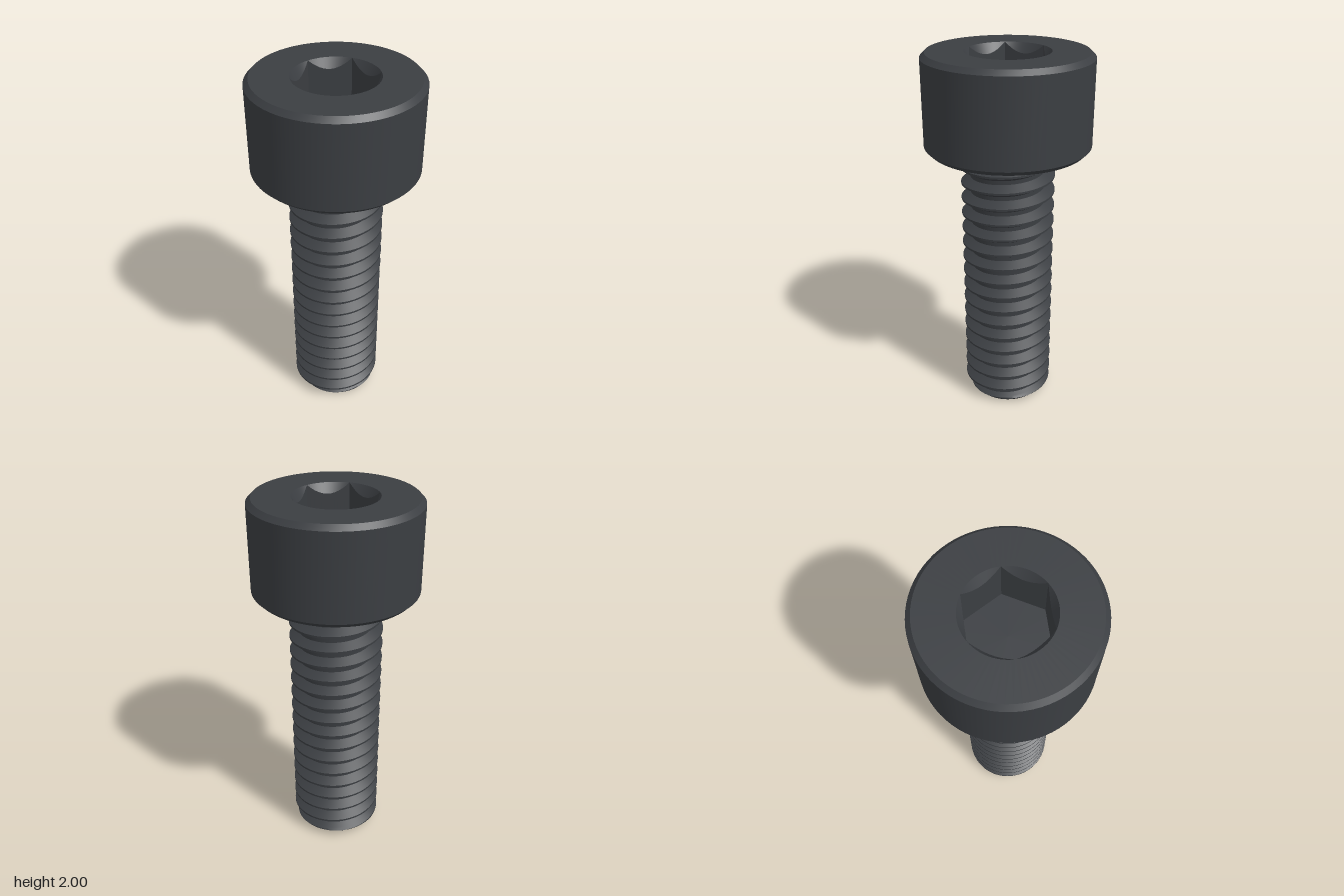
import * as THREE from 'three';
import { toCreasedNormals } from 'three/addons/utils/BufferGeometryUtils.js';

const SEG = 72;
const material = new THREE.MeshStandardMaterial({ color: 0x3b3e42 });

// Skin over rings: at(row, turn) gives [radius, y], with turn running 0..1 around the axis
function ringMesh(name, rows, at) {
  const pos = [], index = [];
  for (let j = 0; j < rows; j++) {
    for (let i = 0; i <= SEG; i++) {
      const turn = i / SEG, a = turn * Math.PI * 2;
      const [r, y] = at(j, turn);
      pos.push(r * Math.cos(a), y, -r * Math.sin(a));
      if (j < rows - 1 && i < SEG) {
        const p = j * (SEG + 1) + i, q = p + SEG + 1;
        index.push(p, p + 1, q + 1, p, q + 1, q);
      }
    }
  }
  let geo = new THREE.BufferGeometry();
  geo.setAttribute('position', new THREE.Float32BufferAttribute(pos, 3));
  geo.setIndex(index);
  // enlarge while creasing so that fine thread vertices stay distinct
  geo.scale(100, 100, 100);
  geo = toCreasedNormals(geo, 0.45);
  geo.scale(0.01, 0.01, 0.01);
  const mesh = new THREE.Mesh(geo, material);
  mesh.name = name;
  return mesh;
}

// Threaded shank: rows follow a right-handed helix, trimmed at both ends
function threadedShank() {
  const pitch = 0.0875, steps = 16, phase = 0.008;
  const root = 0.2, crest = 0.25, top = 1.5, fillet = 0.06;
  const first = -steps - 2;
  const rows = Math.ceil(top / pitch * steps) + steps + 6;
  return ringMesh('threadedShank', rows + 1, (j, turn) => {
    if (j === 0) return [0, 0]; // centre of the flat tip
    const y = THREE.MathUtils.clamp(phase + pitch * ((first + j - 1) / steps + turn), 0, top);
    // distance from the nearest crest, in pitches (0 to 0.5)
    const s = (y - phase) / pitch - turn;
    const d = Math.abs(s - Math.round(s));
    const flank = THREE.MathUtils.clamp((d - 1 / 16) / (3 / 8 - 1 / 16), 0, 1);
    let r = crest - (crest - root) * flank;
    r = Math.min(r, root + y); // tip chamfer
    const h = y - (top - fillet); // fillet under the head
    if (h > 0) r = Math.max(r, root + fillet - Math.sqrt(Math.max(0, fillet * fillet - h * h)));
    return [r, y];
  });
}

// Cap head: chamfered cylinder with a countersunk hexagonal socket
function capHead() {
  const R = 0.4375, c = 0.025, bottom = 1.5, top = 2, floor = 1.75, flat = 0.19;
  const rim = flat / Math.cos(Math.PI / 6);
  const outline = [[0.19, bottom], [R - c, bottom], [R, bottom + c], [R, top - c], [R - c, top], [rim, top]];
  return ringMesh('socketHead', outline.length + 3, (j, turn) => {
    if (j < outline.length) return outline[j];
    const a = ((turn * 6) % 1) * Math.PI / 3 - Math.PI / 6;
    const hex = flat / Math.cos(a);
    const k = j - outline.length;
    if (k === 0) return [hex, top - (rim - hex) * 1.73]; // scalloped countersink
    return k === 1 ? [hex, floor] : [0, floor];
  });
}

export function createModel() {
  const group = new THREE.Group();
  group.name = 'socketHeadScrew';
  group.add(threadedShank(), capHead());
  return group;
}
